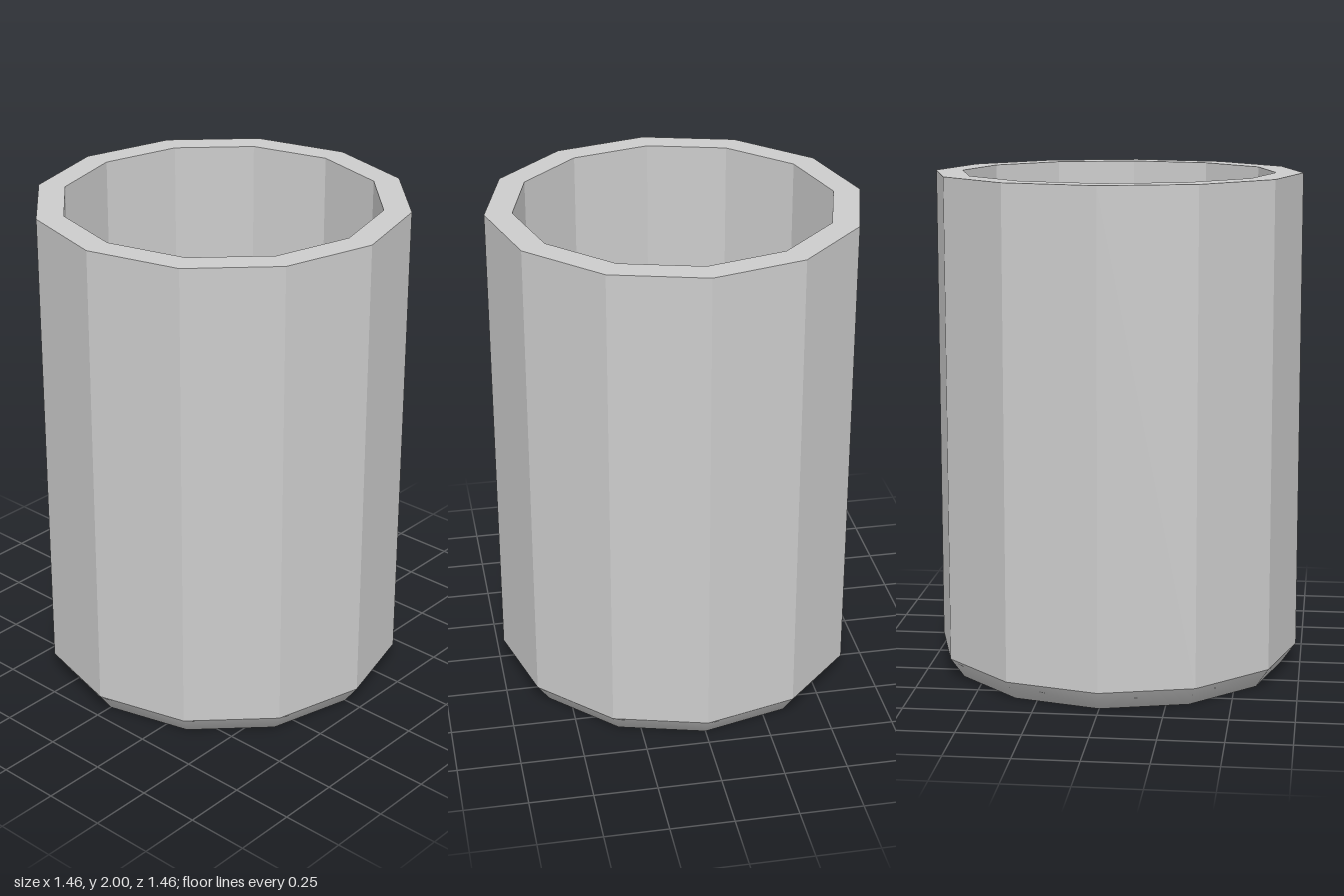
import * as THREE from 'three';

const SIDES = 12;

// Turn a [radius, height] profile into a twelve-sided solid of revolution
function turned(name, profile, flatShading) {
  const points = profile.map(([r, y]) => new THREE.Vector2(r, y));
  const material = new THREE.MeshStandardMaterial({ color: 0xcccccc, flatShading });
  const mesh = new THREE.Mesh(new THREE.LatheGeometry(points, SIDES), material);
  mesh.name = name;
  return mesh;
}

export function createModel() {
  const group = new THREE.Group();
  group.name = 'cup';

  // Straight outer wall, flat rim and faceted inside wall
  group.add(turned('wall', [[0.732, 0.08], [0.732, 2], [0.625, 2], [0.625, 0.32]], true));

  // Rounded inner corner running down to the flat floor
  group.add(turned('innerFloor', [[0.625, 0.32], [0.565, 0.23], [0.41, 0.11], [0, 0.11]], true));

  // Softly shaded underside with a chamfered edge
  group.add(turned('base', [[0, 0], [0.675, 0], [0.732, 0.08]], false));

  return group;
}
